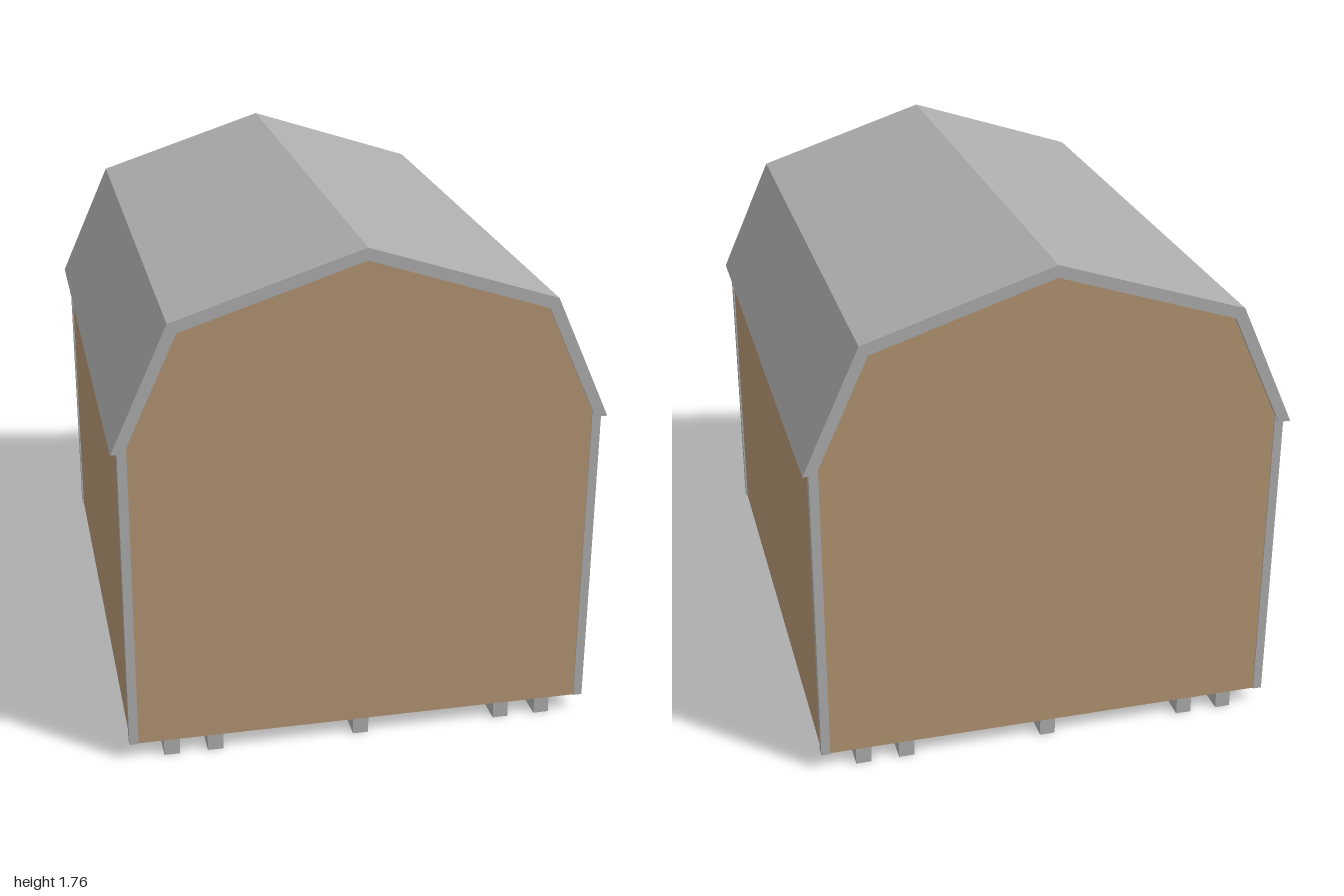
import * as THREE from 'three';

const siding = new THREE.MeshStandardMaterial({ color: 0xb29471 });
siding.name = 'tan siding';
const metal = new THREE.MeshStandardMaterial({ color: 0xadadad });
metal.name = 'grey metal';

// Extrudes an outline along z, from z0 to z1
function extrude(points, z0, z1) {
  const shape = new THREE.Shape(points.map(([x, y]) => new THREE.Vector2(x, y)));
  const geo = new THREE.ExtrudeGeometry(shape, { depth: z1 - z0, bevelEnabled: false });
  return geo.translate(0, 0, z0);
}

// Box given by its minimum and maximum corners
function box([x0, y0, z0], [x1, y1, z1]) {
  const geo = new THREE.BoxGeometry(x1 - x0, y1 - y0, z1 - z0);
  return geo.translate((x0 + x1) / 2, (y0 + y1) / 2, (z0 + z1) / 2);
}

// Completes a right-hand profile (from the ridge outwards) with its mirror image
const mirrored = (half) => [...half.slice(1).reverse().map(([x, y]) => [-x, y]), ...half];

export function createModel() {
  const group = new THREE.Group();
  const add = (name, geo, mat) => {
    const mesh = new THREE.Mesh(geo, mat);
    mesh.name = name;
    group.add(mesh);
  };

  const floorY = 0.06, t = 0.006;
  const frontZ = 0.993, backZ = -0.985;

  // Gambrel roof: a bent shell with thickness
  const outer = mirrored([[0, 1.763], [0.635, 1.557], [0.827, 1.132]]);
  const inner = mirrored([[0, 1.721], [0.606, 1.524], [0.785, 1.132]]);
  add('roof', extrude([...outer, ...inner.reverse()], -1, 1), metal);

  // Gable end walls, tucked under the roof
  const gable = mirrored([[0, 1.723], [0.608, 1.526], [0.775, 1.16], [0.801, 1.14], [0.801, floorY]]);
  add('frontWall', extrude(gable, frontZ - t, frontZ), siding);
  add('backWall', extrude(gable, backZ, backZ + t), siding);

  for (const s of [-1, 1]) {
    const side = s > 0 ? 'left' : 'right';
    const sideBox = (x0, x1, y0, y1, z0, z1) =>
      box([Math.min(s * x0, s * x1), y0, z0], [Math.max(s * x0, s * x1), y1, z1]);

    // Long side wall; the building is open underneath
    add(side + 'Wall', sideBox(0.801 - t, 0.801, floorY, 1.15, backZ, frontZ), siding);

    // Corner trim: one strip on the gable, one on the side
    add(side + 'FrontCornerTrim', sideBox(0.775, 0.806, floorY, 1.16, frontZ - 0.002, 0.997), metal);
    add(side + 'FrontSideTrim', sideBox(0.799, 0.806, floorY, 1.15, 0.962, 0.997), metal);
    add(side + 'BackCornerTrim', sideBox(0.775, 0.806, floorY, 1.16, -0.99, backZ + 0.002), metal);
    add(side + 'BackSideTrim', sideBox(0.799, 0.806, floorY, 1.15, -0.99, -0.955), metal);
  }

  // Skids running the full length under the building
  for (const x of [-0.661, -0.511, 0, 0.508, 0.659]) {
    add('skid', box([x - 0.027, 0, -0.985], [x + 0.027, floorY, 0.99]), metal);
  }

  return group;
}
